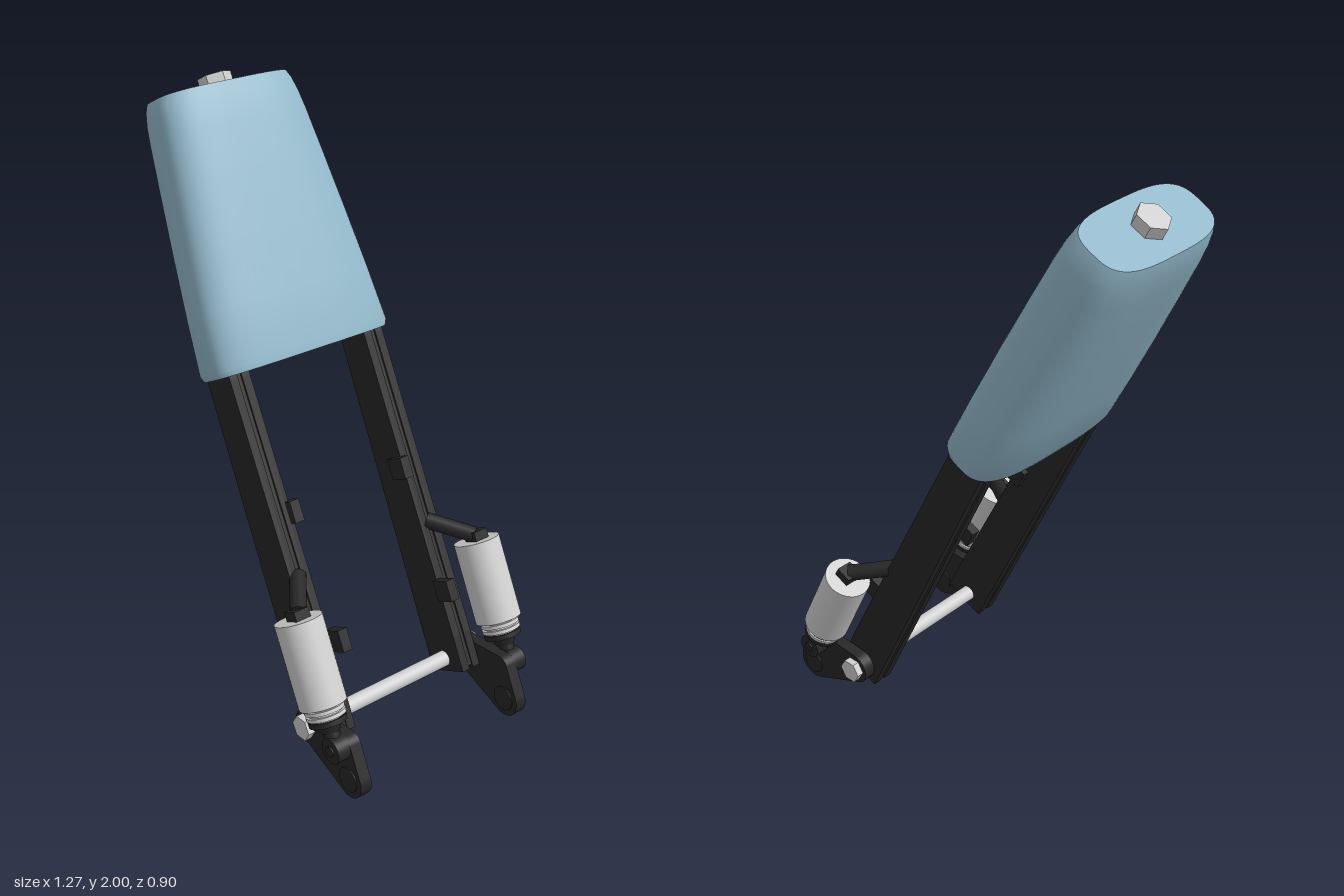
import * as THREE from 'three';
import { toCreasedNormals } from 'three/addons/utils/BufferGeometryUtils.js';

const mat = (name, color) => {
  const m = new THREE.MeshStandardMaterial({ color });
  m.name = name;
  return m;
};

export function createModel() {
  const model = new THREE.Group();
  model.name = 'legAssembly';
  const blue = mat('paleBlue', 0x93b9cb);
  const dark = mat('charcoal', 0x272727);
  const light = mat('lightGrey', 0xd0d0d0);

  const add = (parent, name, geo, material, x = 0, y = 0, z = 0) => {
    const mesh = new THREE.Mesh(geo, material);
    mesh.name = name;
    mesh.position.set(x, y, z);
    parent.add(mesh);
    return mesh;
  };
  const hex = (r, h) => toCreasedNormals(new THREE.CylinderGeometry(r, r, h, 6).rotateY(Math.PI / 2), 0.3);
  const plate = (shape, depth) => new THREE.ExtrudeGeometry(shape, { depth, bevelEnabled: false, curveSegments: 20 })
    .translate(0, 0, -depth / 2);
  // cylinder whose axis runs along z
  const disc = (r, h, seg = 32) => new THREE.CylinderGeometry(r, r, h, seg).rotateX(Math.PI / 2);
  const strut = (parent, name, a, b, r, material) => {
    const d = new THREE.Vector3().subVectors(b, a);
    const m = add(parent, name, new THREE.CylinderGeometry(r, r, d.length(), 20), material);
    m.position.copy(a).addScaledVector(d, 0.5);
    m.quaternion.setFromUnitVectors(new THREE.Vector3(0, 1, 0), d.normalize());
  };

  // Tapered, rounded upper block: height, half thickness, half width
  const profile = [
    [0, 0.118, 0.338], [0.02, 0.122, 0.348], [0.2, 0.127, 0.332], [0.4, 0.13, 0.311],
    [0.6, 0.13, 0.289], [0.75, 0.129, 0.272], [0.81, 0.126, 0.264], [0.855, 0.12, 0.254], [0.88, 0.114, 0.243],
  ];
  const rows = profile.length - 1;
  const blockGeo = new THREE.CylinderGeometry(1, 1, 1, 72, rows);
  const pos = blockGeo.attributes.position;
  const curve = (v) => Math.sign(v) * Math.pow(Math.abs(v), 2 / 3.2);
  for (let i = 0; i < pos.count; i++) {
    const [h, hx, hz] = profile[Math.round((pos.getY(i) + 0.5) * rows)];
    const clean = (v) => (Math.abs(v) < 1e-6 ? 0 : v);
    pos.setXYZ(i, curve(clean(pos.getX(i))) * hx, h, curve(clean(pos.getZ(i))) * hz);
  }
  const upper = new THREE.Group();
  upper.name = 'upperBlock';
  upper.position.set(-0.13, 1.163, 0);
  upper.rotation.z = 0.478;
  model.add(upper);
  add(upper, 'blockShell', toCreasedNormals(blockGeo, 0.7), blue);
  add(upper, 'topBolt', hex(0.055, 0.05), light, 0, 0.895, 0);

  // Rail outline, inset slightly for the core between its two side plates
  const railShape = (inset) => new THREE.Shape([
    [0.317 + inset, 0.07 + inset], [0.46 - inset, 0.14 + inset], [0.407 - inset, 0.25],
    [-0.07 - inset, 1.18], [-0.16 - inset, 1.355], [-0.28 + inset, 1.31],
  ].map(([x, y]) => new THREE.Vector2(x, y)));

  // Rounded three-corner foot plate
  const footShape = new THREE.Shape();
  footShape.absarc(0.365, 0.145, 0.055, 1.626, 4.34, false);
  footShape.absarc(0.575, 0.063, 0.061, -1.943, 0.435, false);
  footShape.absarc(0.545, 0.175, 0.04, 0.435, 1.626, false);

  // Cross rod between the rails
  add(model, 'crossRod', disc(0.027, 0.5), light, 0.367, 0.145, 0);

  for (const s of [1, -1]) {
    const side = new THREE.Group();
    side.name = s > 0 ? 'frontSide' : 'backSide';
    model.add(side);

    // Rail
    for (const z of [0.247, 0.293]) add(side, 'railPlate', plate(railShape(0), 0.03), dark, 0, 0, s * z);
    add(side, 'railCore', plate(railShape(0.008), 0.04), dark, 0, 0, s * 0.27);

    // Inner tabs
    for (const [x, y] of [[0.127, 0.775], [0.367, 0.42]]) {
      add(side, 'innerTab', new THREE.BoxGeometry(0.071, 0.071, 0.035), dark, x, y, s * 0.227).rotation.z = 0.46;
    }

    // Foot plate with pivot bolt and boss
    add(side, 'footPlate', plate(footShape, 0.042), dark, 0, 0, s * 0.333);
    add(side, 'footBoss', disc(0.042, 0.05), dark, 0.575, 0.065, s * 0.333);
    add(side, 'pivotBolt', hex(0.042, 0.03), light, 0.365, 0.145, s * 0.363).rotation.x = Math.PI / 2;

    // Damper, hanging along its own axis
    const damper = new THREE.Group();
    damper.name = 'damper';
    damper.position.set(0.349, 0.55, s * 0.373);
    damper.rotation.z = 0.457;
    side.add(damper);
    const stage = (name, from, to, rTop, rBottom, material) => add(damper, name,
      new THREE.CylinderGeometry(rTop, rBottom, to - from, 40), material, 0, -(from + to) / 2, 0);
    stage('damperBody', 0, 0.276, 0.077, 0.077, light);
    stage('damperNeck', 0.276, 0.325, 0.054, 0.054, light);
    for (const d of [0.284, 0.303]) stage('damperRing', d, d + 0.012, 0.064, 0.064, light);
    stage('damperCollar', 0.32, 0.337, 0.062, 0.062, dark);
    stage('damperCone', 0.337, 0.365, 0.045, 0.03, dark);
    stage('damperShaft', 0.36, 0.42, 0.026, 0.026, dark);

    // Rod end at the foot
    add(side, 'rodEnd', disc(0.042, 0.05), dark, 0.542, 0.175, s * 0.375);
    add(side, 'rodEndPin', disc(0.018, 0.09, 20), dark, 0.542, 0.175, s * 0.36);

    // Upper bracket from rail to damper
    strut(side, 'bracketArm', new THREE.Vector3(0.215, 0.6, s * 0.27),
      new THREE.Vector3(0.345, 0.568, s * 0.368), 0.027, dark);
    add(side, 'bracketBlock', new THREE.BoxGeometry(0.055, 0.045, 0.055), dark, 0.35, 0.56, s * 0.373).rotation.z = 0.457;
  }
  return model;
}
